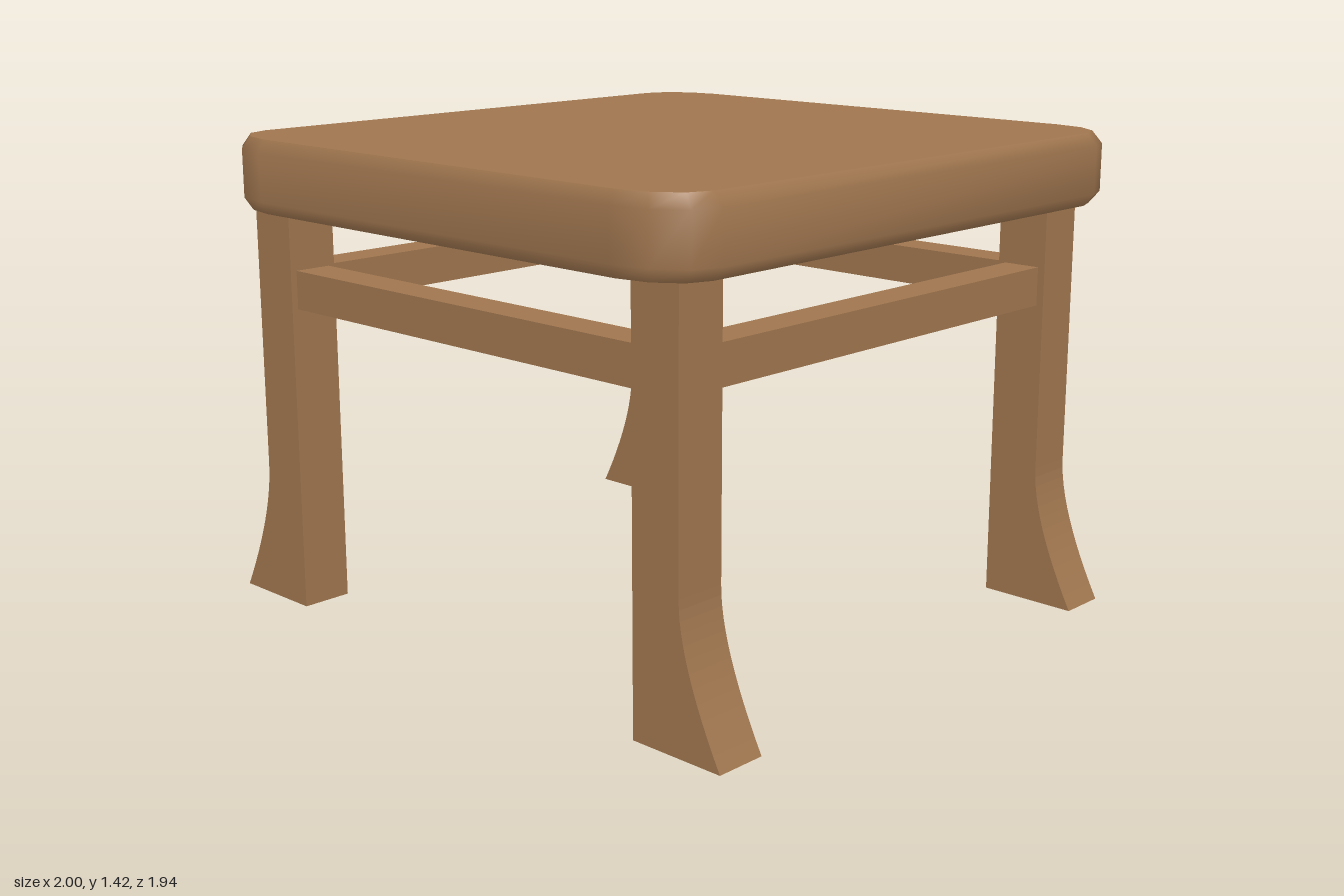
import * as THREE from 'three';

const wood = new THREE.MeshStandardMaterial({ color: 0xa0764f });
wood.name = 'brown wood';

const SEAT_BOTTOM = 1.21;
const LEG_IN = 0.70, LEG_OUT = 0.86;
const FRONT = [0.73, 0.885], BACK = [-0.83, -0.68]; // leg extents in z

function addMesh(parent, geometry, name) {
  const mesh = new THREE.Mesh(geometry, wood);
  mesh.name = name;
  parent.add(mesh);
  return mesh;
}

// Rounded rectangle outline [x, z] with elliptical corners of three segments
function seatOutline(rx, rz) {
  const points = [];
  const corners = [[1, 1], [-1, 1], [-1, -1], [1, -1]];
  corners.forEach(([sx, sz], q) => {
    for (let i = 0; i <= 3; i++) {
      const a = (q + i / 3) * Math.PI / 2;
      points.push([sx * 0.71 + rx * Math.cos(a), sz * 0.81 + rz * Math.sin(a)]);
    }
  });
  return points;
}

// Seat: softly rounded side band plus flat top and bottom
function buildSeat() {
  const seat = new THREE.Group();
  seat.name = 'seat';
  const outer = seatOutline(0.225, 0.16);
  const inner = seatOutline(0.192, 0.138);
  const rings = [[inner, SEAT_BOTTOM], [outer, 1.247], [outer, 1.388], [inner, 1.425]];
  const n = outer.length;
  const positions = [], index = [];
  rings.forEach(([ring, y], r) => ring.forEach(([x, z], i) => {
    positions.push(x, y, z);
    if (r === rings.length - 1) return;
    const a = r * n + i, b = r * n + (i + 1) % n;
    index.push(a, a + n, b, b, a + n, b + n);
  }));
  const band = new THREE.BufferGeometry();
  band.setAttribute('position', new THREE.Float32BufferAttribute(positions, 3));
  band.setIndex(index);
  band.computeVertexNormals();
  addMesh(seat, band, 'seatEdge');

  const face = new THREE.Shape(inner.map(([x, z]) => new THREE.Vector2(x, z)));
  const top = new THREE.ShapeGeometry(face).rotateX(-Math.PI / 2).translate(0, 1.425, 0);
  const bottom = new THREE.ShapeGeometry(face).rotateX(Math.PI / 2).translate(0, SEAT_BOTTOM, 0);
  addMesh(seat, top, 'seatTop');
  addMesh(seat, bottom, 'seatUnderside');
  return seat;
}

// Leg: straight post flaring outward at the foot
function legGeometry(side, [z0, z1]) {
  const s = new THREE.Shape();
  s.moveTo(side * LEG_IN, 0);
  s.lineTo(side * 1.0, 0);
  s.quadraticCurveTo(side * 0.86, 0.26, side * LEG_OUT, 0.42);
  s.lineTo(side * LEG_OUT, SEAT_BOTTOM);
  s.lineTo(side * LEG_IN, SEAT_BOTTOM);
  s.closePath();
  const g = new THREE.ExtrudeGeometry(s, { depth: z1 - z0, bevelEnabled: false, curveSegments: 12 });
  return g.translate(0, 0, z0);
}

export function createModel() {
  const model = new THREE.Group();
  model.name = 'stool';
  model.add(buildSeat());

  for (const side of [1, -1]) {
    const label = side > 0 ? 'Left' : 'Right';
    addMesh(model, legGeometry(side, FRONT), 'front' + label + 'Leg');
    addMesh(model, legGeometry(side, BACK), 'back' + label + 'Leg');

    // Side rails between front and back legs
    const length = FRONT[0] - BACK[1];
    addMesh(model, new THREE.BoxGeometry(0.115, 0.115, length), 'side' + label + 'Rail')
      .position.set(side * 0.78, 0.977, (FRONT[0] + BACK[1]) / 2);
  }

  // Front and back rails between left and right legs
  for (const [z, name] of [[FRONT, 'frontRail'], [BACK, 'backRail']]) {
    addMesh(model, new THREE.BoxGeometry(2 * LEG_IN, 0.115, 0.115), name)
      .position.set(0, 0.977, (z[0] + z[1]) / 2);
  }
  return model;
}
